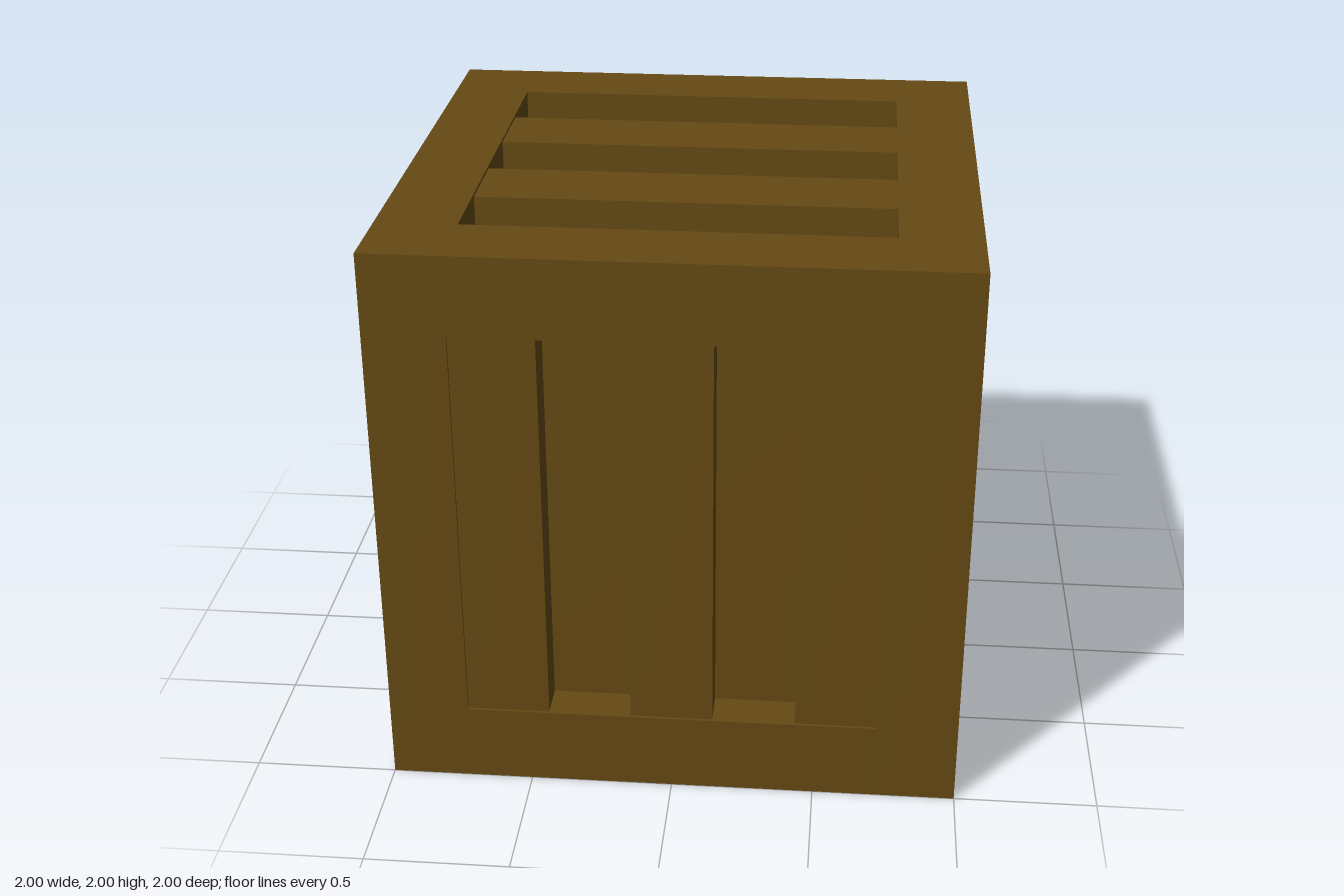
import * as THREE from 'three';

const B = 0.28;        // beam thickness
const H = 1 - B;       // half size of each framed opening
const GROOVE = 0.14;   // depth of the gaps between slats
const RECESS = 0.01;   // slats sit just below the frame

export function createModel() {
  const model = new THREE.Group();
  model.name = 'crate';
  const wood = new THREE.MeshStandardMaterial({ color: 0x664a14, flatShading: true });

  const box = (name, parent, size, pos) => {
    const mesh = new THREE.Mesh(new THREE.BoxGeometry(...size), wood);
    mesh.name = name;
    mesh.position.set(...pos);
    parent.add(mesh);
  };

  // Solid core: the floor of the grooves
  const crate = new THREE.Group();
  crate.name = 'crateBody';
  crate.position.y = 1;
  model.add(crate);
  const core = 2 * (1 - GROOVE);
  box('core', crate, [core, core, core], [0, 0, 0]);

  // Twelve frame beams: full-height posts, rails fitted between them
  const c = 1 - B / 2;
  for (const a of [-c, c]) {
    for (const b of [-c, c]) {
      box('cornerPost', crate, [B, 2, B], [a, 0, b]);
      box('railX', crate, [2 * H, B, B], [0, a, b]);
      box('railZ', crate, [B, B, 2 * H], [a, b, 0]);
    }
  }

  // A panel faces +z with vertical slats; it is turned onto its side of the crate
  const slatWidth = (2 * H) / 5;
  const thick = GROOVE - RECESS;
  const panel = (name, slots, rx, ry, rz) => {
    const group = new THREE.Group();
    group.name = name;
    for (const i of slots) {
      box('slat', group, [slatWidth, 2 * H, thick], [i * slatWidth, 0, 1 - RECESS - thick / 2]);
    }
    group.rotation.set(rx, ry, rz);
    crate.add(group);
  };

  // Three upright slats on each side
  ['front', 'left', 'back', 'right'].forEach((side, i) =>
    panel(side + 'Panel', [-2, 0, 2], 0, (i * Math.PI) / 2, 0));

  // Two slats on top (along x) and two underneath (along z)
  panel('topPanel', [-1, 1], -Math.PI / 2, 0, Math.PI / 2);
  panel('bottomPanel', [-1, 1], Math.PI / 2, 0, 0);

  return model;
}
